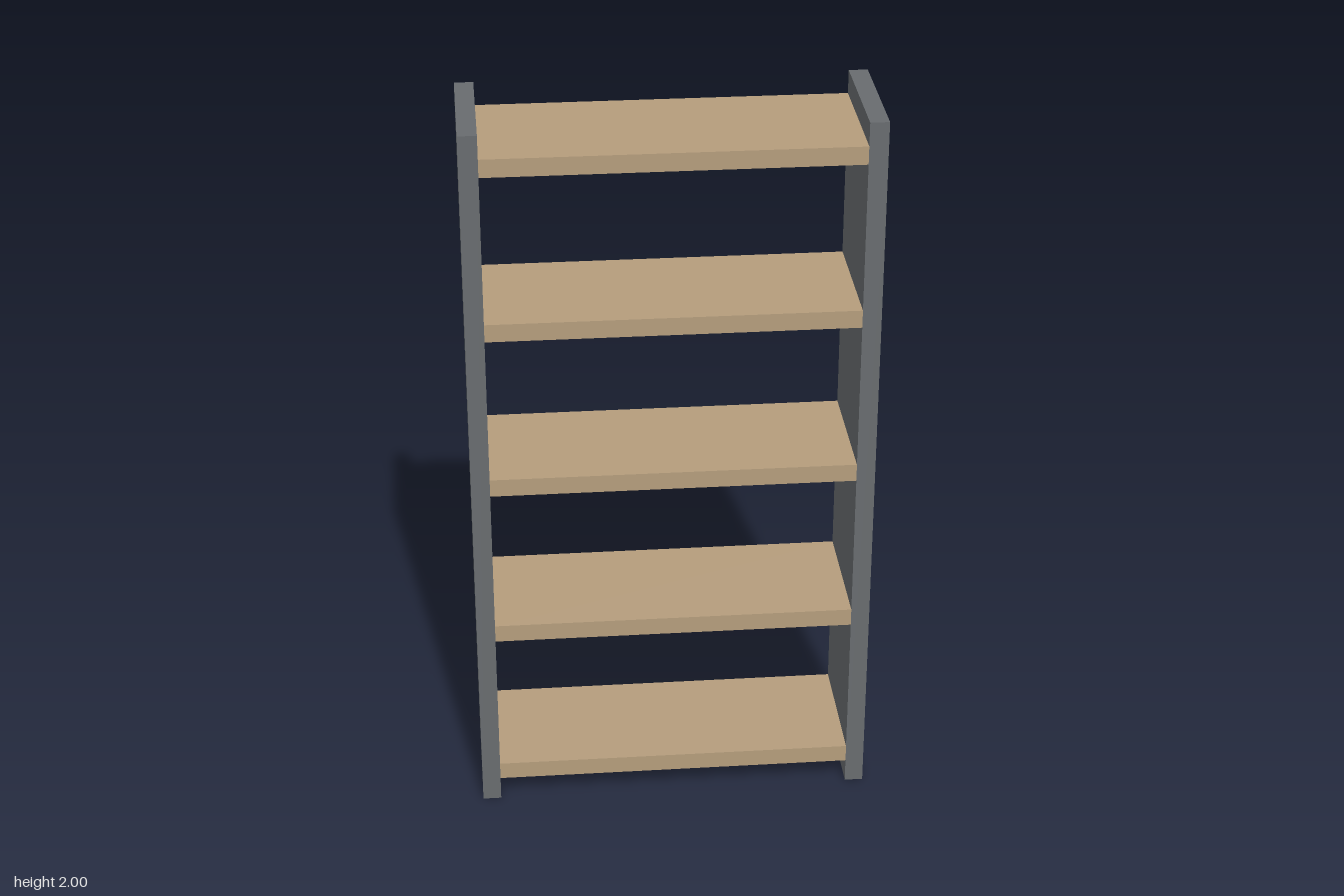
import * as THREE from 'three';

const HEIGHT = 2, DEPTH = 0.366;
const INNER = 0.488, OUTER = 0.538; // inner and outer faces of the side panels
const SHELVES = 5, FIRST = 0.092, STEP = 0.455, THICKNESS = 0.049;

export function createModel() {
  const group = new THREE.Group();
  group.name = 'shelfUnit';
  const panelMaterial = new THREE.MeshStandardMaterial({ color: 0x686c6f });
  const woodMaterial = new THREE.MeshStandardMaterial({ color: 0xb59d7c });

  const box = (name, w, h, x, y, material) => {
    const mesh = new THREE.Mesh(new THREE.BoxGeometry(w, h, DEPTH), material);
    mesh.name = name;
    mesh.position.set(x, y, 0);
    group.add(mesh);
  };

  // Upright side panels
  for (const [name, side] of [['leftPanel', 1], ['rightPanel', -1]]) {
    box(name, OUTER - INNER, HEIGHT, side * (INNER + OUTER) / 2, HEIGHT / 2, panelMaterial);
  }

  // Evenly spaced shelf boards between the panels
  for (let i = 0; i < SHELVES; i++) {
    box(`shelf${i + 1}`, 2 * INNER, THICKNESS, 0, FIRST + i * STEP, woodMaterial);
  }
  return group;
}
